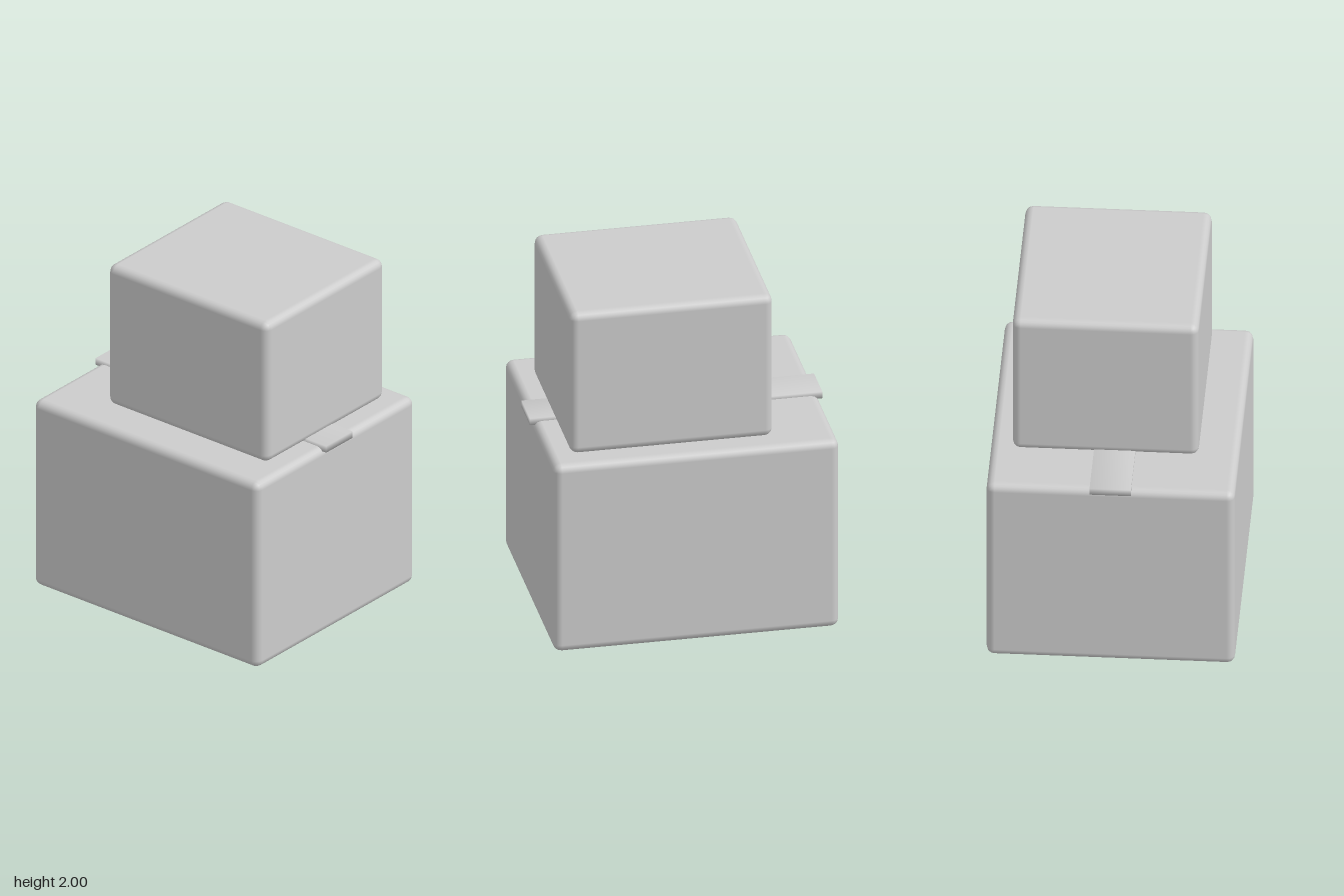
import * as THREE from 'three';
import { mergeVertices } from 'three/addons/utils/BufferGeometryUtils.js';
import { RoundedBoxGeometry } from 'three/addons/geometries/RoundedBoxGeometry.js';

const grey = new THREE.MeshStandardMaterial({ color: 0xcccccc });
grey.name = 'light grey';

// Box with softened edges, given by its size and centre
function carton(name, size, centre) {
  const mesh = new THREE.Mesh(new RoundedBoxGeometry(...size, 2, 0.045), grey);
  mesh.name = name;
  mesh.position.set(...centre);
  return mesh;
}

// Plain box whose corners share one smooth normal
function smoothBox(w, h, d) {
  const box = new THREE.BoxGeometry(w, h, d);
  box.deleteAttribute('normal');
  box.deleteAttribute('uv');
  const merged = mergeVertices(box);
  merged.computeVertexNormals();
  return merged;
}

export function createModel() {
  const model = new THREE.Group();
  model.name = 'stackedBoxes';

  // Large box below, smaller box set off-centre on top
  model.add(carton('lowerBox', [1.59, 1.14, 1.36], [0, 0.57, 0]));
  model.add(carton('upperBox', [1.13, 0.86, 1.02], [0.115, 1.57, -0.05]));

  // Flat strip of tape across the lid, overhanging both sides
  const tape = new THREE.Mesh(smoothBox(1.63, 0.04, 0.226), grey);
  tape.name = 'tapeStrip';
  tape.position.set(0, 1.14, 0);
  model.add(tape);

  return model;
}
